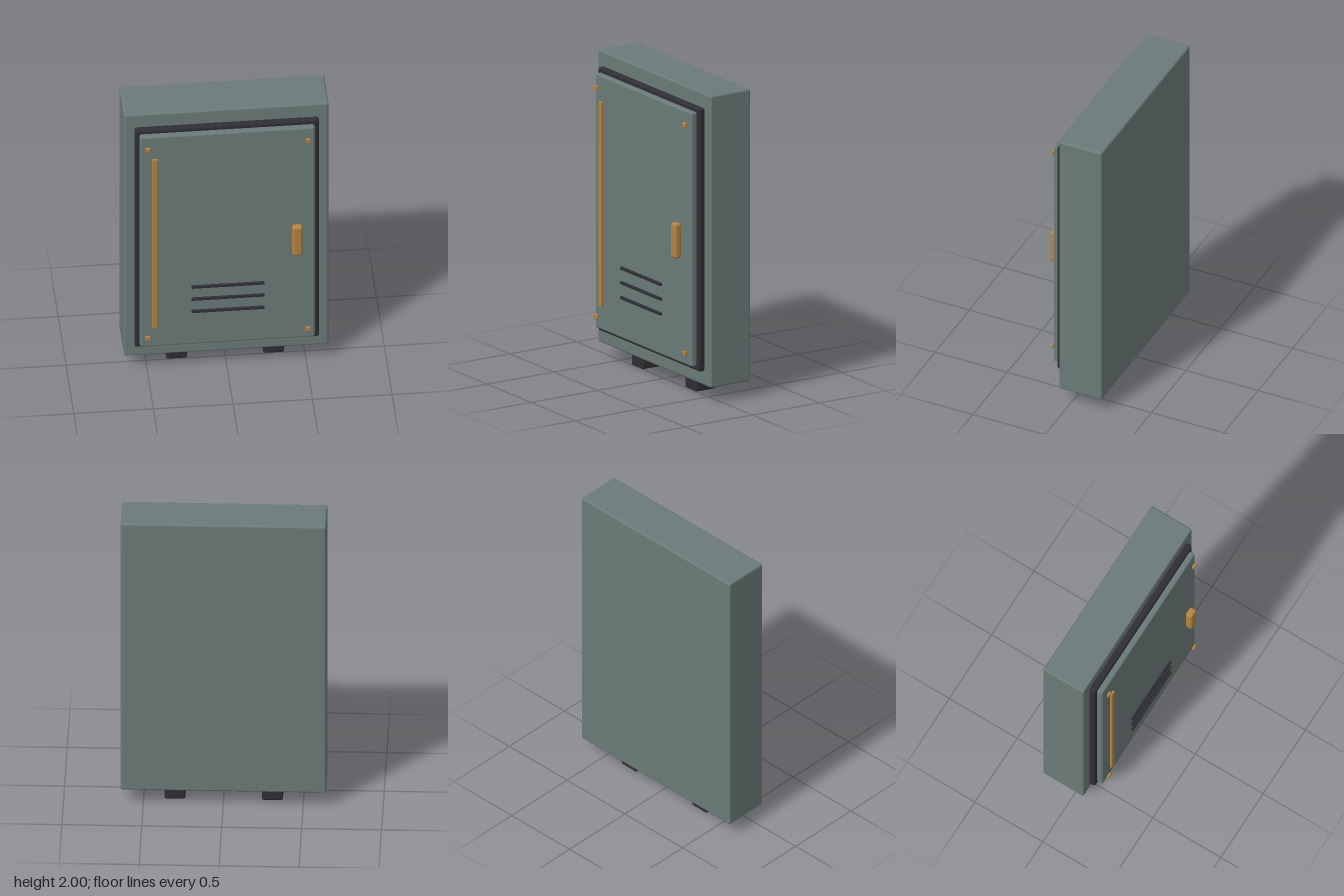
import * as THREE from 'three';
import { RoundedBoxGeometry } from 'three/addons/geometries/RoundedBoxGeometry.js';

function material(name, color) {
  const m = new THREE.MeshStandardMaterial({ color });
  m.name = name;
  return m;
}

export function createModel() {
  const group = new THREE.Group();
  group.name = 'wallCabinet';
  const paint = material('greyGreenPaint', 0x6b7b78);
  const rubber = material('darkRubber', 0x2f2f34);
  const brass = material('brass', 0xb48442);

  // Rounded block given by its extents on each axis
  function block(name, mat, [x0, x1], [y0, y1], [z0, z1], radius) {
    const geo = new RoundedBoxGeometry(x1 - x0, y1 - y0, z1 - z0, 3, radius);
    const mesh = new THREE.Mesh(geo, mat);
    mesh.name = name;
    mesh.position.set((x0 + x1) / 2, (y0 + y1) / 2, (z0 + z1) / 2);
    group.add(mesh);
  }

  // Cabinet body, door seal and door
  block('body', paint, [-0.643, 0.643], [0.1, 2], [-0.222, 0.076], 0.013);
  block('doorSeal', rubber, [-0.579, 0.579], [0.196, 1.908], [0.074, 0.12], 0.016);
  block('door', paint, [-0.55, 0.55], [0.226, 1.88], [0.112, 0.158], 0.014);

  // Hinge strip and handle
  block('hingeStrip', brass, [-0.476, -0.441], [0.386, 1.718], [0.168, 0.184], 0.005);
  block('handle', brass, [0.402, 0.466], [0.92, 1.146], [0.175, 0.222], 0.015);

  // Vent slats
  for (const y of [0.5, 0.597, 0.692]) {
    block('ventSlat', rubber, [-0.23, 0.23], [y - 0.01, y + 0.01], [0.168, 0.184], 0.005);
  }

  // Corner bolts and feet, mirrored across the cabinet
  for (const side of [-1, 1]) {
    for (const y of [0.31, 1.795]) {
      const x = side * 0.503;
      block('cornerBolt', brass, [x - 0.017, x + 0.017], [y - 0.017, y + 0.017], [0.171, 0.187], 0.006);
    }
    const fx = side * 0.305;
    block('foot', rubber, [fx - 0.066, fx + 0.066], [0, 0.112], [-0.146, 0.005], 0.013);
  }
  return group;
}
